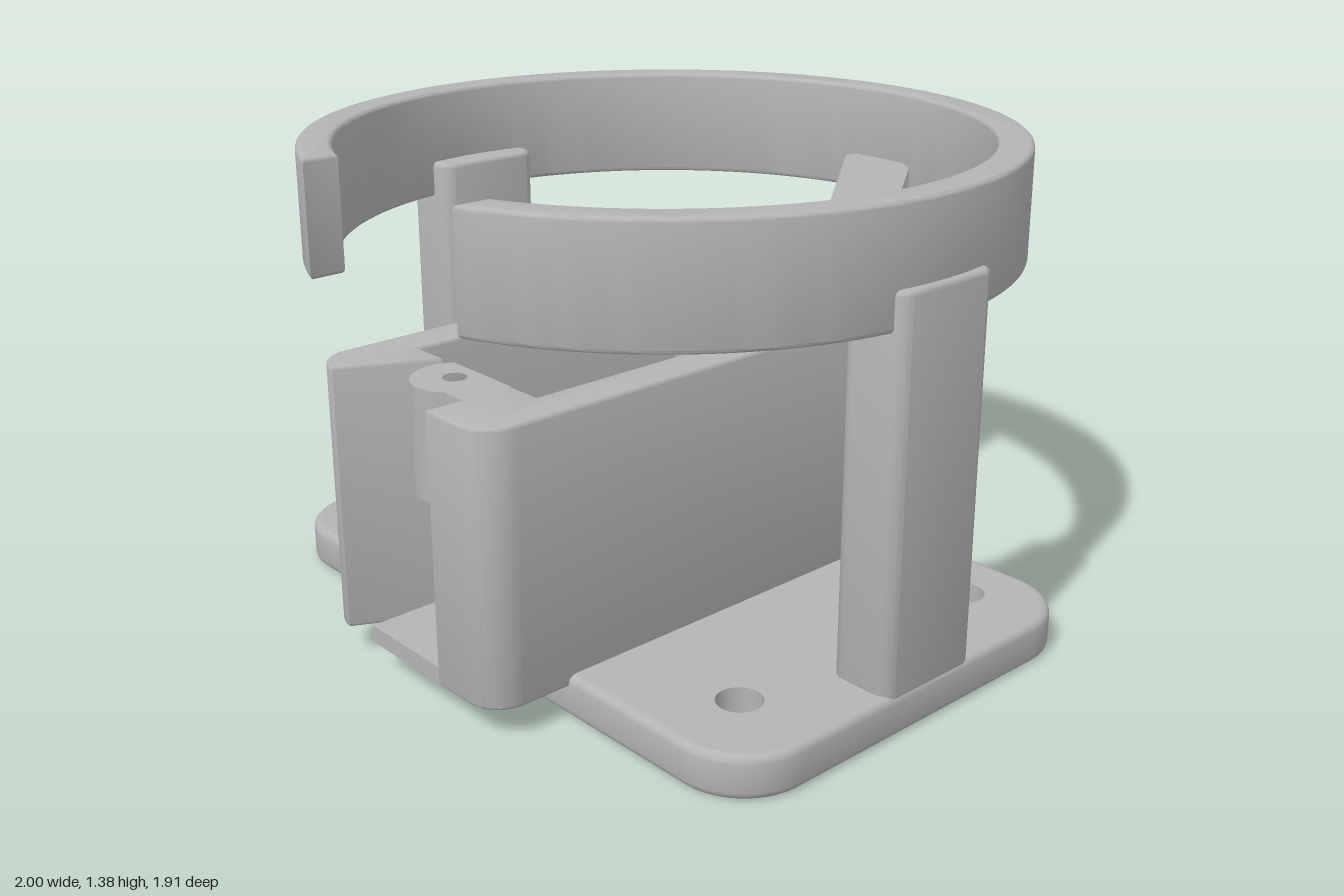
import * as THREE from 'three';
import { toCreasedNormals } from 'three/addons/utils/BufferGeometryUtils.js';

const { PI } = Math;
const grey = new THREE.MeshStandardMaterial({ color: 0xb4b4b4 });
grey.name = 'grey plastic';

// Rounded rectangle on the ground plane (shape y is world z)
function roundedRect(x0, x1, z0, z1, r, Type = THREE.Shape) {
  const s = new Type();
  s.absarc(x0 + r, z0 + r, r, PI, 1.5 * PI, false);
  s.absarc(x1 - r, z0 + r, r, 1.5 * PI, 2 * PI, false);
  s.absarc(x1 - r, z1 - r, r, 0, 0.5 * PI, false);
  s.absarc(x0 + r, z1 - r, r, 0.5 * PI, PI, false);
  s.closePath();
  return s;
}

function circle(x, z, r) {
  return new THREE.Path().absarc(x, z, r, 0, 2 * PI, true);
}

function part(name, geometry) {
  const mesh = new THREE.Mesh(geometry, grey);
  mesh.name = name;
  return mesh;
}

// Extrude a ground-plane shape between two heights, with an optional rounded edge
function slab(name, shape, y0, y1, bevel = 0, curveSegments = 12) {
  const geo = new THREE.ExtrudeGeometry(shape, {
    depth: y1 - y0 - 2 * bevel, curveSegments,
    bevelEnabled: bevel > 0, bevelThickness: bevel, bevelSize: bevel,
    bevelOffset: -bevel, bevelSegments: 3,
  });
  geo.rotateX(PI / 2).translate(0, y1 - bevel, 0);
  return part(name, toCreasedNormals(geo, 0.6));
}

function block(name, x0, x1, y0, y1, z0, z1) {
  const geo = new THREE.BoxGeometry(x1 - x0, y1 - y0, z1 - z0);
  geo.translate((x0 + x1) / 2, (y0 + y1) / 2, (z0 + z1) / 2);
  return part(name, geo);
}

export function createModel() {
  const model = new THREE.Group();
  model.name = 'ringHolder';

  // Base plate: sharp-edged screw holes in the core, rounded rim around it
  const b = 0.022;
  const core = roundedRect(-1 + b, 1 - b, -0.61 + b, 0.7 - b, 0.2 - b);
  for (const x of [-0.75, 0.75])
    for (const z of [-0.41, 0.46]) core.holes.push(circle(x, z, 0.062));
  const rim = roundedRect(-1, 1, -0.61, 0.7, 0.2);
  rim.holes.push(roundedRect(-0.94, 0.94, -0.55, 0.64, 0.14, THREE.Path));
  model.add(slab('basePlate', core, 0, 0.12), slab('baseRim', rim, 0, 0.12, b));

  // Side posts
  for (const [name, x0, x1] of [['leftPost', 0.805, 0.997], ['rightPost', -0.997, -0.805]])
    model.add(slab(name, roundedRect(x0, x1, -0.145, 0.195, 0.045), 0.1, 1.17, 0.015));

  // Open ring with its gap at the front, cut parallel to the z axis
  const R = 0.98, r = 0.885, cz = 0.03;
  const a = Math.acos(0.32 / R), c = Math.acos(0.32 / r);
  const ring = new THREE.Shape();
  ring.absarc(0, cz, R, PI - a, 2 * PI + a, false);
  ring.absarc(0, cz, r, 2 * PI + c, PI - c, true);
  ring.closePath();
  model.add(slab('openRing', ring, 1.065, 1.38, 0.012, 60));

  // Box walls: pocket open to the front through a slot, screw hole at the rear
  const walls = new THREE.Shape();
  walls.moveTo(-0.147, 0.94);
  walls.absarc(-0.275, 0.84, 0.1, 0.5 * PI, PI, false);
  walls.absarc(-0.275, -0.38, 0.1, PI, 1.5 * PI, false);
  walls.absarc(0.275, -0.38, 0.1, 1.5 * PI, 2 * PI, false);
  walls.absarc(0.275, 0.84, 0.1, 0, 0.5 * PI, false);
  for (const [x, z] of [[0.147, 0.94], [0.147, 0.685], [0.255, 0.685], [0.255, -0.24],
    [-0.255, -0.24], [-0.255, 0.685], [-0.147, 0.685]]) walls.lineTo(x, z);
  walls.closePath();
  walls.holes.push(circle(0, -0.305, 0.026));
  model.add(slab('boxWalls', walls, 0.09, 0.84, 0.008));
  model.add(block('pocketFloor', -0.27, 0.27, 0.091, 0.14, -0.25, 0.69));
  model.add(block('slotFloor', -0.16, 0.16, 0.091, 0.14, 0.68, 0.938));

  // Screw boss hanging in the slot, tied to one wall by a tab
  const boss = new THREE.Shape();
  boss.absarc(0, 0.75, 0.115, PI + 0.6, -0.6, true);
  boss.closePath();
  boss.holes.push(circle(0, 0.75, 0.033));
  model.add(slab('screwBoss', boss, 0.535, 0.84));
  model.add(block('bossTab', 0.07, 0.155, 0.63, 0.84, 0.687, 0.835));

  // Sloping rear brace: side profile in (-z, y), extruded across x
  const side = new THREE.Shape([[0.33, 0.11], [0.555, 0.11], [0.925, 1.17], [0.85, 1.17]]
    .map(([z, y]) => new THREE.Vector2(z, y)));
  const brace = new THREE.ExtrudeGeometry(side, { depth: 0.255, bevelEnabled: false });
  brace.rotateY(PI / 2).translate(-0.13, 0, 0);
  model.add(part('rearBrace', brace));

  return model;
}
